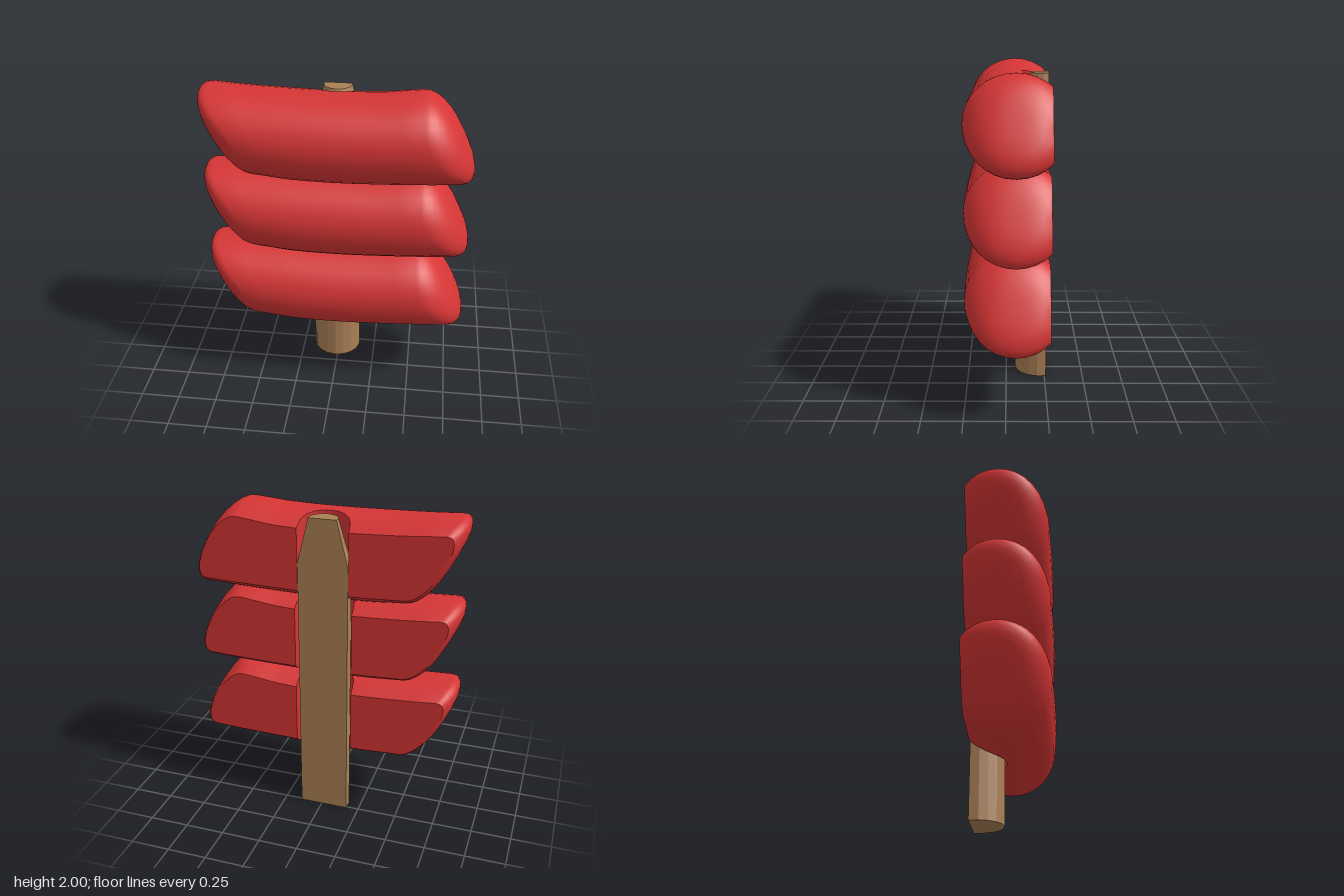
import * as THREE from 'three';
import { toCreasedNormals } from 'three/addons/utils/BufferGeometryUtils.js';

const BACK = -0.26;      // flat back plane shared by all parts
const STICK_X = -0.015;  // stick is slightly off centre

// Skin a list of closed rings (equal point counts) and cap both ends
function loft(rings) {
  const n = rings[0].length, pos = [], idx = [];
  rings.forEach(r => r.forEach(p => pos.push(...p)));
  for (let i = 0; i < rings.length - 1; i++) {
    for (let j = 0; j < n; j++) {
      const k = (j + 1) % n, a = i * n, b = a + n;
      idx.push(a + j, b + j, b + k, a + j, b + k, a + k);
    }
  }
  const cap = (ring, start, flip) => {
    const c = [0, 1, 2].map(d => ring.reduce((s, p) => s + p[d], 0) / n);
    const m = pos.length / 3;
    pos.push(...c);
    for (let j = 0; j < n; j++) {
      const k = (j + 1) % n;
      idx.push(m, start + (flip ? k : j), start + (flip ? j : k));
    }
  };
  cap(rings[0], 0, false);
  cap(rings[rings.length - 1], (rings.length - 1) * n, true);
  const g = new THREE.BufferGeometry();
  g.setAttribute('position', new THREE.Float32BufferAttribute(pos, 3));
  g.setIndex(idx);
  return g;
}

// Slanted, slightly sagging roll: flat back with an upright groove for the stick
function rollGeometry(grooveHalf, grooveFront) {
  const N = 32, RY = 0.272, RZ = 0.302;
  const ring = (base, f, cut = BACK) => {
    const w = THREE.MathUtils.smoothstep(Math.abs(base), 0.2, 0.6);
    const zc = -0.045 - 0.03 * base * base;
    const yc = 0.065 * base * base;
    // points past the cut collapse onto its edge
    const a = Math.acos(Math.max(-1, (cut - zc) / (RZ * f)));
    const pts = [];
    for (let j = 0; j <= N; j++) {
      const t = THREE.MathUtils.clamp(-Math.PI + 2 * Math.PI * j / N, -a, a);
      const h = RY * f * Math.sin(t), q = f * Math.cos(t);
      const x = base - w * (0.52 * h + Math.sign(base) * 0.07 * q ** 4);
      pts.push([x, yc + h, zc + RZ * q]);
    }
    return pts;
  };
  const rings = [];
  const domes = [0.12, 0.3, 0.5, 0.65, 0.78, 0.87, 0.94, 0.98, 1];
  const inset = f => 0.12 * (1 - Math.sqrt(1 - f ** 3));
  // left dome and straight run
  domes.forEach(f => rings.push(ring(-0.755 + inset(f), f)));
  [-0.5, -0.4, -0.3].forEach(x => rings.push(ring(x, 1)));
  // groove
  rings.push(ring(STICK_X - grooveHalf, 1));
  for (let k = 0; k <= 10; k++) {
    const p = -Math.PI / 2 + Math.PI * k / 10;
    rings.push(ring(STICK_X + grooveHalf * Math.sin(p), 1,
      grooveFront - grooveHalf * (1 - Math.cos(p))));
  }
  rings.push(ring(STICK_X + grooveHalf, 1));
  // straight run and right dome
  [0.3, 0.4, 0.5].forEach(x => rings.push(ring(x, 1)));
  [...domes].reverse().forEach(f => rings.push(ring(0.76 - inset(f), f)));
  return toCreasedNormals(loft(rings), 0.65);
}

// Round-fronted stick with a tapered top
function stickGeometry() {
  const R = 0.16, S = 10, zc = -0.22;
  const end = Math.acos((BACK - zc) / R);
  const level = (y, s) => Array.from({ length: S + 1 }, (_, j) => {
    const p = end - 2 * end * j / S;
    return [STICK_X + s * R * Math.sin(p), y, BACK + s * (zc + R * Math.cos(p) - BACK)];
  });
  return loft([level(0, 1), level(1.68, 1), level(1.96, 0.55)]);
}

export function createModel() {
  const group = new THREE.Group();
  const red = new THREE.MeshStandardMaterial({ color: 0xd63535 });
  const wood = new THREE.MeshStandardMaterial({ color: 0xaa8055, flatShading: true });
  const add = (name, geo, mat, y = 0) => {
    const m = new THREE.Mesh(geo, mat);
    m.name = name;
    m.position.y = y;
    group.add(m);
  };

  const wide = rollGeometry(0.178, -0.045);
  add('lowerRoll', wide, red, 0.663);
  add('middleRoll', wide, red, 1.193);
  add('upperRoll', rollGeometry(0.157, -0.095), red, 1.698);
  add('stick', stickGeometry(), wood);
  return group;
}
